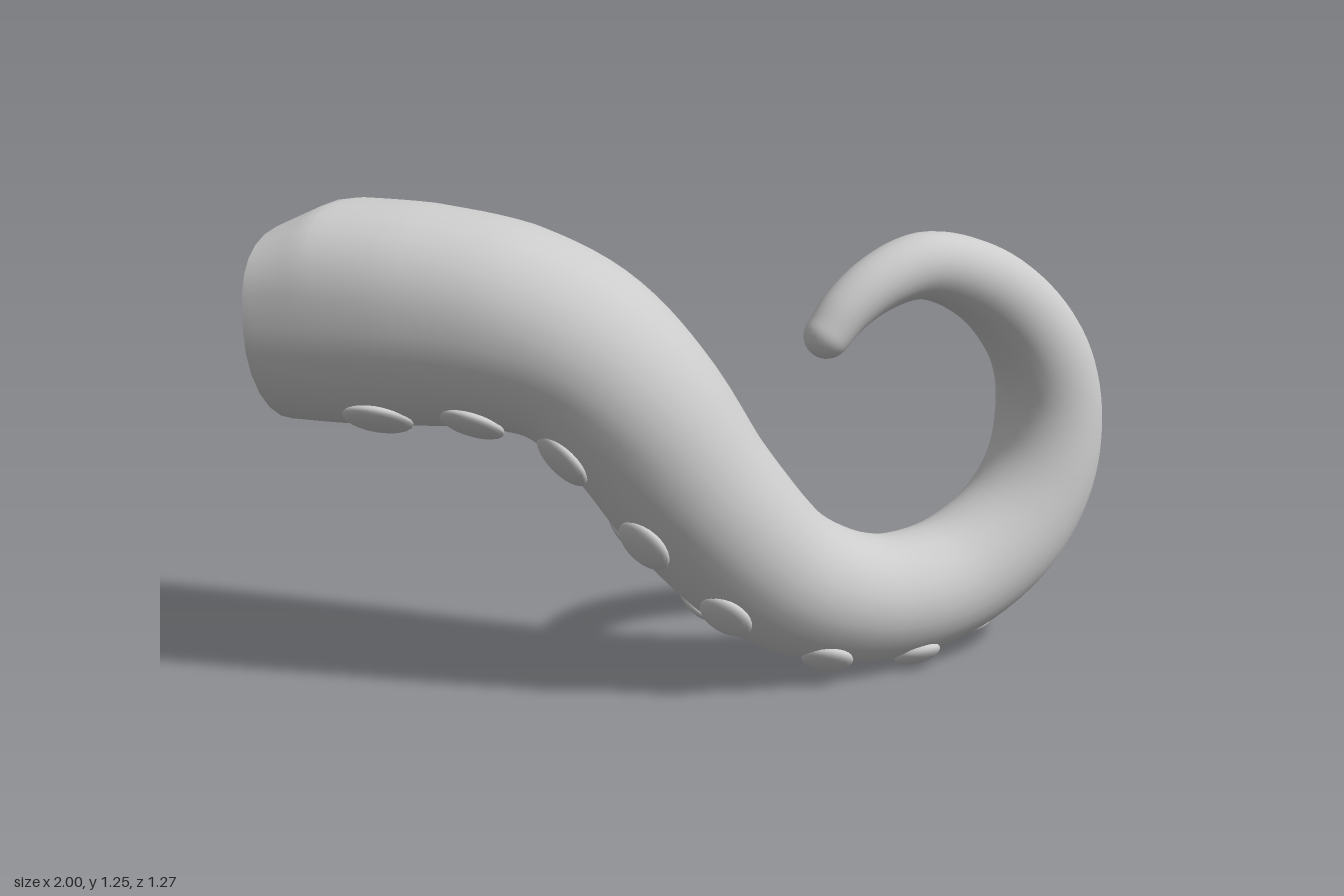
import * as THREE from 'three';

const material = new THREE.MeshStandardMaterial({ color: 0xcccccc });
const SIDES = 28;

// Stations along the arm: x, y, z, radius towards the underside, sideways radius, heading (radians)
const stations = [
  [-1.0, 0.96, 0.342, 0.288, 0.292, 0],
  [-0.85, 0.96, 0.342, 0.29, 0.292, 0],
  [-0.65, 0.96, 0.34, 0.284, 0.29, 0],
  [-0.42, 0.94, 0.332, 0.265, 0.28, 0.05],
  [-0.25, 0.88, 0.317, 0.245, 0.267, 0.15],
  [-0.1, 0.745, 0.294, 0.23, 0.25, 0.3],
  [0.05, 0.515, 0.238, 0.216, 0.228, 0.55],
  [0.22, 0.3, 0.14, 0.196, 0.203, 0.75],
  [0.35, 0.213, 0.036, 0.181, 0.186, 0.83],
  [0.48, 0.18, -0.08, 0.168, 0.172, 0.88],
  [0.63, 0.205, -0.24, 0.164, 0.166, 0.88],
  [0.765, 0.315, -0.38, 0.16, 0.16, 0.88],
  [0.835, 0.465, -0.462, 0.154, 0.154, 0.88],
  [0.85, 0.63, -0.488, 0.147, 0.147, 0.88],
  [0.825, 0.79, -0.452, 0.134, 0.134, 0.88],
  [0.75, 0.935, -0.362, 0.118, 0.118, 0.88],
  [0.655, 1.03, -0.245, 0.102, 0.102, 0.88],
  [0.55, 1.073, -0.115, 0.087, 0.087, 0.88],
  [0.46, 1.04, -0.005, 0.075, 0.075, 0.88],
  [0.395, 0.98, 0.07, 0.066, 0.066, 0.88],
  [0.356, 0.92, 0.113, 0.059, 0.059, 0.88],
];
const spine = new THREE.CatmullRomCurve3(stations.map(s => new THREE.Vector3(s[0], s[1], s[2])));
const size = new THREE.CatmullRomCurve3(stations.map(s => new THREE.Vector3(s[3], s[4], s[5])));

// Centre, tangent, sideways and underside directions at t
function frameAt(t) {
  const center = spine.getPoint(t), tangent = spine.getTangent(t);
  const s = size.getPoint(t);
  const side = new THREE.Vector3(Math.sin(s.z), 0, Math.cos(s.z));
  side.addScaledVector(tangent, -side.dot(tangent)).normalize();
  const under = new THREE.Vector3().crossVectors(tangent, side);
  return { t, center, tangent, side, under, ru: s.x, rs: s.y };
}

// Cross-section, with a squarer back that drops slightly at the cut end
function ringAt(f, scale = 1, shift = 0) {
  const square = 1 - 0.3 * Math.max(0, 1 - f.t / 0.2);
  const drop = 1 - 0.2 * THREE.MathUtils.clamp((-0.87 - f.center.x) / 0.13, 0, 1);
  return Array.from({ length: SIDES }, (_, j) => {
    const a = (j / SIDES) * Math.PI * 2;
    let c = Math.cos(a), s = Math.sin(a);
    if (c < 0) {
      c = -(Math.abs(c) ** square) * drop;
      s = Math.sign(s) * Math.abs(s) ** square;
    }
    return f.center.clone()
      .addScaledVector(f.under, c * f.ru * scale)
      .addScaledVector(f.side, s * f.rs * scale)
      .addScaledVector(f.tangent, shift);
  });
}

// Skin joining successive closed rings
function loft(rings) {
  const index = [];
  for (let i = 0; i < rings.length - 1; i++) {
    for (let j = 0; j < SIDES; j++) {
      const k = (j + 1) % SIDES;
      const a = i * SIDES + j, b = i * SIDES + k, c = a + SIDES, d = b + SIDES;
      index.push(a, c, b, b, c, d);
    }
  }
  const g = new THREE.BufferGeometry().setFromPoints(rings.flat());
  g.setIndex(index);
  g.computeVertexNormals();
  return g;
}

function addMesh(parent, name, geometry) {
  const mesh = new THREE.Mesh(geometry, material);
  mesh.name = name;
  parent.add(mesh);
  return mesh;
}

export function createModel() {
  const group = new THREE.Group();
  group.name = 'tentacle';

  // Curling arm with a rounded tip
  const rings = [];
  const STEPS = 120;
  for (let i = 0; i <= STEPS; i++) rings.push(ringAt(frameAt(i / STEPS)));
  const tip = frameAt(1);
  for (let i = 1; i <= 8; i++) {
    const a = (i / 8) * Math.PI / 2;
    rings.push(ringAt(tip, Math.max(Math.cos(a), 0.001), Math.sin(a) * tip.ru));
  }
  addMesh(group, 'arm', loft(rings));

  // Flat cut end
  const base = frameAt(0);
  addMesh(group, 'cutEnd', loft([ringAt(base, 0.001), ringAt(base)]));

  // Two rows of flattened suckers along the underside, placed by x, meeting in a single last one
  const suckers = new THREE.Group();
  suckers.name = 'suckers';
  group.add(suckers);
  const disc = new THREE.SphereGeometry(1, 24, 14);
  const tilt = 0.54;
  [-0.72, -0.43, -0.12, 0.04, 0.18, 0.35, 0.51, 0.645].forEach((x, n, all) => {
    let t = 0;
    while (spine.getPoint(t).x < x) t += 0.001;
    const f = frameAt(t);
    const r = 0.092 - n * 0.0045;
    for (const a of n < all.length - 1 ? [tilt, -tilt] : [0]) {
      const out = f.under.clone().multiplyScalar(Math.cos(a)).addScaledVector(f.side, Math.sin(a));
      const mesh = addMesh(suckers, a < 0 ? 'backSucker' : 'frontSucker', disc);
      mesh.position.copy(f.center)
        .addScaledVector(f.under, Math.cos(a) * f.ru)
        .addScaledVector(f.side, Math.sin(a) * f.rs);
      const across = new THREE.Vector3().crossVectors(f.tangent, out);
      mesh.quaternion.setFromRotationMatrix(new THREE.Matrix4().makeBasis(f.tangent, out, across));
      mesh.scale.set(r, 0.027, r * 0.9);
    }
  });

  return group;
}
